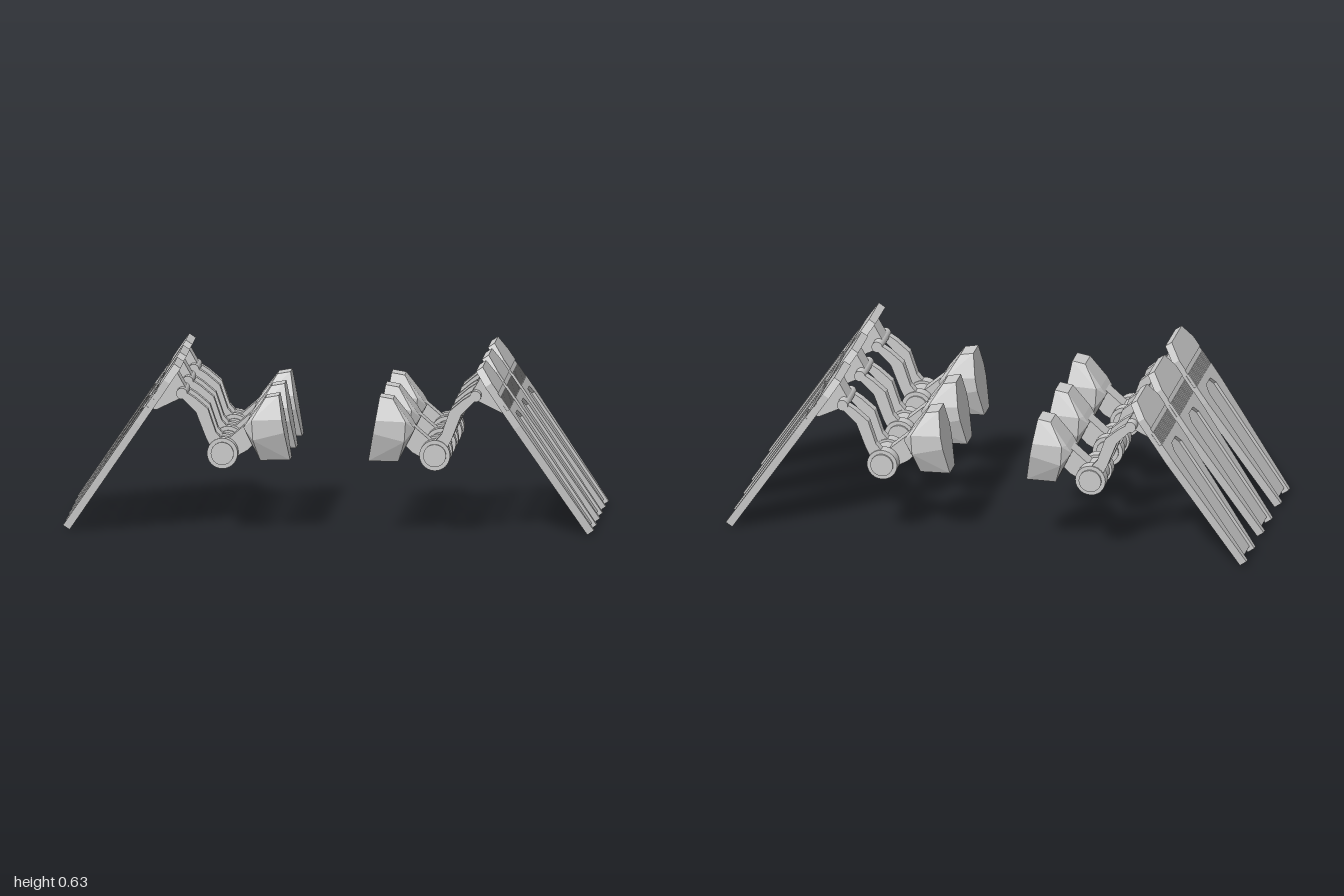
import * as THREE from 'three';
import { ConvexGeometry } from 'three/addons/geometries/ConvexGeometry.js';

const material = new THREE.MeshStandardMaterial({ color: 0xcccccc, flatShading: true });
const smooth = new THREE.MeshStandardMaterial({ color: 0xcccccc });

function add(parent, name, geometry, mat = material) {
  const mesh = new THREE.Mesh(geometry, mat);
  mesh.name = name;
  parent.add(mesh);
  return mesh;
}

const toShape = (pts) => new THREE.Shape(pts.map(([x, y]) => new THREE.Vector2(x, y)));

// Mirror a half outline (bottom to top, positive x) into a closed one
const mirrored = (half) => [...half, ...half.slice().reverse().map(([x, y]) => [-x, y])];

// Extrude an outline from depth z0 to z1
function slab(pts, z0, z1) {
  const g = new THREE.ExtrudeGeometry(toShape(pts), { depth: z1 - z0, bevelEnabled: false });
  return g.translate(0, 0, z0);
}

// Cylinder lying along z
function drum(x, y, radius, z0, z1) {
  return new THREE.CylinderGeometry(radius, radius, z1 - z0, 24)
    .rotateX(Math.PI / 2).translate(x, y, (z0 + z1) / 2);
}

// Shin plate in its own frame: x across, y up the slope, z outward
function createPlate() {
  const plate = new THREE.Group();
  plate.name = 'shinPlate';
  const T = 0.03;

  // Frame with forked foot, open around the recessed panel
  const panel = [[0.06, 0.017], [0.06, 0.499], [0.036, 0.529]];
  add(plate, 'plateFrame', slab([
    [0.06, 0], [0.083, 0], [0.13, 0.487], [0.13, 0.56],
    [-0.13, 0.56], [-0.13, 0.487], [-0.083, 0], [-0.06, 0],
    [-0.06, 0.499], [-0.036, 0.529], [0.036, 0.529], [0.06, 0.499],
  ], 0, T));
  add(plate, 'recessedPanel', slab(mirrored(panel), 0.005, 0.019));

  // Ribbed band
  add(plate, 'bandFloor', slab(mirrored([[0.13, 0.56], [0.13, 0.635]]), 0, 0.018));
  add(plate, 'bandRail', slab(mirrored([[0.13, 0.616], [0.13, 0.635]]), 0.018, 0.027));
  const ribs = 17, pitch = 0.26 / ribs;
  for (let i = 0; i < ribs; i++) {
    const rib = add(plate, 'bandRib', new THREE.BoxGeometry(pitch - 0.0045, 0.056, 0.011));
    rib.position.set(-0.13 + pitch * (i + 0.5), 0.588, 0.0235);
  }

  // Chamfered cap
  add(plate, 'plateCap', slab(mirrored([[0.13, 0.635], [0.13, 0.68], [0.09, 0.746]]), 0, T));

  // Lean the plate so its foot is outermost
  const up = new THREE.Vector3(-0.561, 0.828, 0).normalize();
  const out = new THREE.Vector3(up.y, -up.x, 0);
  const across = new THREE.Vector3(0, 0, -1);
  plate.quaternion.setFromRotationMatrix(new THREE.Matrix4().makeBasis(across, up, out));
  plate.position.set(0.975, 0, 0);
  return plate;
}

function createLeg() {
  const leg = new THREE.Group();
  leg.add(createPlate());

  // Bracket and pin behind the plate
  add(leg, 'plateBracket', slab([
    [0.575, 0.597], [0.54, 0.535], [0.553, 0.5], [0.65, 0.453], [0.672, 0.455],
  ], -0.04, 0.04));
  add(leg, 'kneePin', drum(0.553, 0.52, 0.021, -0.08, 0.08), smooth);

  // Paired bent arms from knee to hub
  const arm = [
    [0.548, 0.532], [0.505, 0.505], [0.455, 0.463], [0.425, 0.375], [0.395, 0.34],
    [0.4, 0.295], [0.44, 0.31], [0.463, 0.355], [0.5, 0.45], [0.553, 0.503],
  ].reverse();
  for (const z of [-0.076, 0.042]) add(leg, 'upperArm', slab(arm, z, z + 0.034));

  // Stepped hub
  add(leg, 'hubAxle', drum(0.4, 0.295, 0.043, -0.09, 0.09), smooth);
  add(leg, 'hubKnuckle', drum(0.4, 0.295, 0.05, -0.033, 0.033), smooth);
  for (const z of [-0.082, 0.038]) add(leg, 'hubDisc', drum(0.4, 0.295, 0.058, z, z + 0.044), smooth);

  // Link from hub to hip
  add(leg, 'hipLink', slab([
    [0.385, 0.34], [0.31, 0.405], [0.27, 0.34], [0.31, 0.3], [0.39, 0.255], [0.43, 0.28],
  ], -0.033, 0.033));

  // Faceted hip block: [x, y, half width]
  const facets = [
    [0.147, 0.267, 0.045], [0.26, 0.265, 0.045],
    [0.167, 0.375, 0.082], [0.285, 0.345, 0.082], [0.322, 0.39, 0.055],
    [0.176, 0.425, 0.082], [0.29, 0.42, 0.082], [0.303, 0.42, 0.06],
    [0.19, 0.512, 0.045], [0.24, 0.503, 0.045],
  ];
  const corners = facets.flatMap(([x, y, w]) => [-w, w].map((z) => new THREE.Vector3(x, y, z)));
  add(leg, 'hipBlock', new ConvexGeometry(corners));
  return leg;
}

export function createModel() {
  const model = new THREE.Group();
  model.name = 'walkerLegs';
  const rows = [['front', 0.3125], ['middle', 0], ['rear', -0.3125]];
  for (const [row, z] of rows) {
    for (const [side, turn] of [['Left', 0], ['Right', Math.PI]]) {
      const leg = createLeg();
      leg.name = row + side + 'Leg';
      leg.rotation.y = turn;
      leg.position.z = z;
      model.add(leg);
    }
  }
  return model;
}
